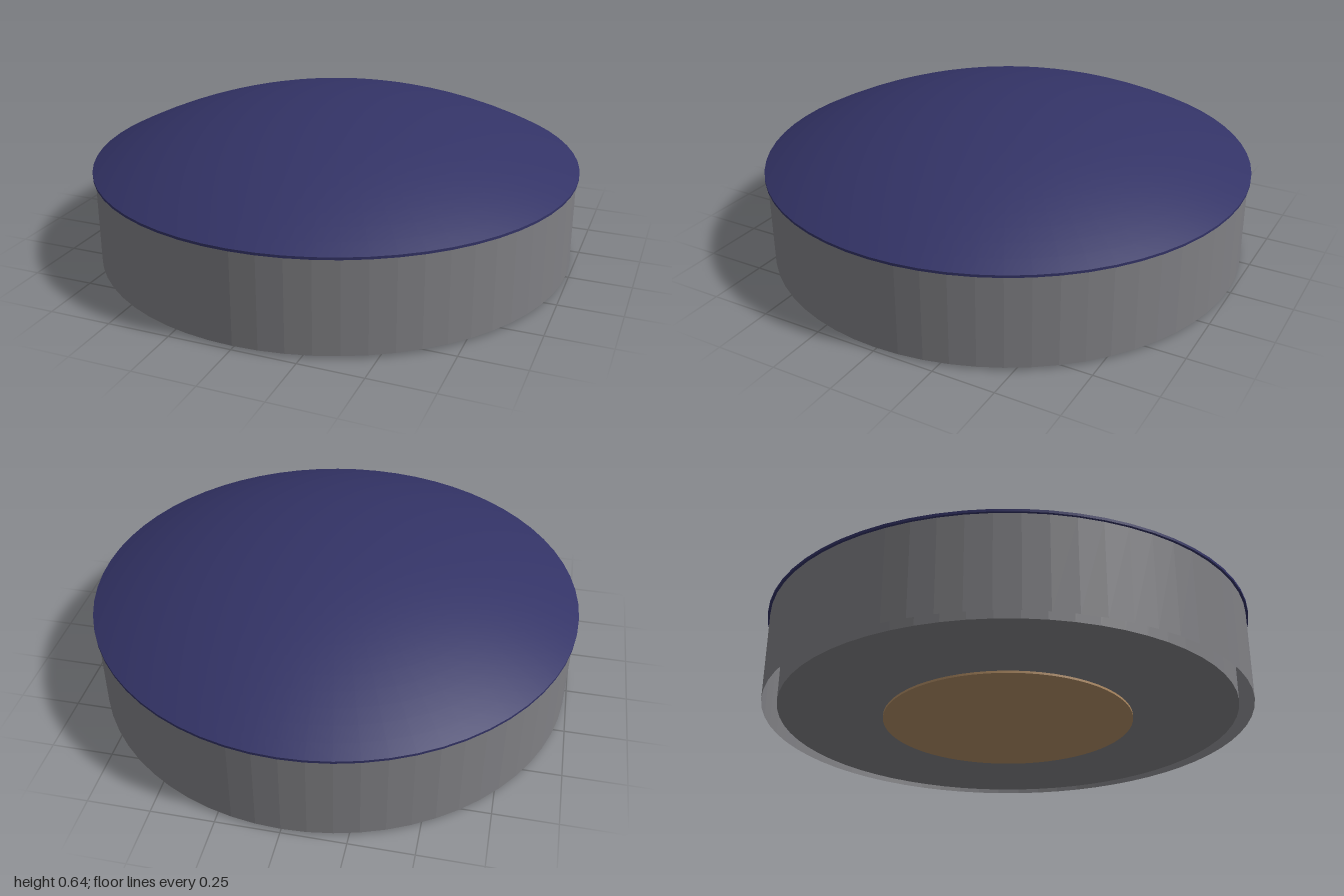
import * as THREE from 'three';

export function createModel() {
  const model = new THREE.Group();
  const mat = (name, color, extra = {}) =>
    Object.assign(new THREE.MeshStandardMaterial({ color, ...extra }), { name });
  const grey = mat('grey', 0x808084, { flatShading: true, side: THREE.DoubleSide });
  const navy = mat('navy', 0x333366);
  const bronze = mat('bronze', 0xb08c64);
  const SEGMENTS = 64;

  const add = (name, geometry, material, y = 0) => {
    const mesh = new THREE.Mesh(geometry, material);
    mesh.name = name;
    mesh.position.y = y;
    model.add(mesh);
  };
  const drum = (radius, bottom, top, open = false) =>
    new THREE.CylinderGeometry(radius, radius, top - bottom, SEGMENTS, 1, open)
      .translate(0, (bottom + top) / 2, 0);

  // Outer wall, open below, with the core standing inside a narrow gap
  add('outerWall', drum(0.99, 0.01, 0.38, true), grey);
  add('innerCore', drum(0.93, 0.01, 0.38), grey);

  // Thin lip under the dome
  add('domeLip', drum(1, 0.38, 0.39), navy);

  // Shallow spherical cap
  const rise = 0.25;
  const R = (1 + rise * rise) / (2 * rise);
  const cap = new THREE.SphereGeometry(R, SEGMENTS, 16, 0, Math.PI * 2, 0, Math.asin(1 / R));
  add('dome', cap, navy, 0.39 + rise - R);

  // Round contact plate on the underside
  add('contactPlate', drum(0.51, 0, 0.009), bronze);

  return model;
}
